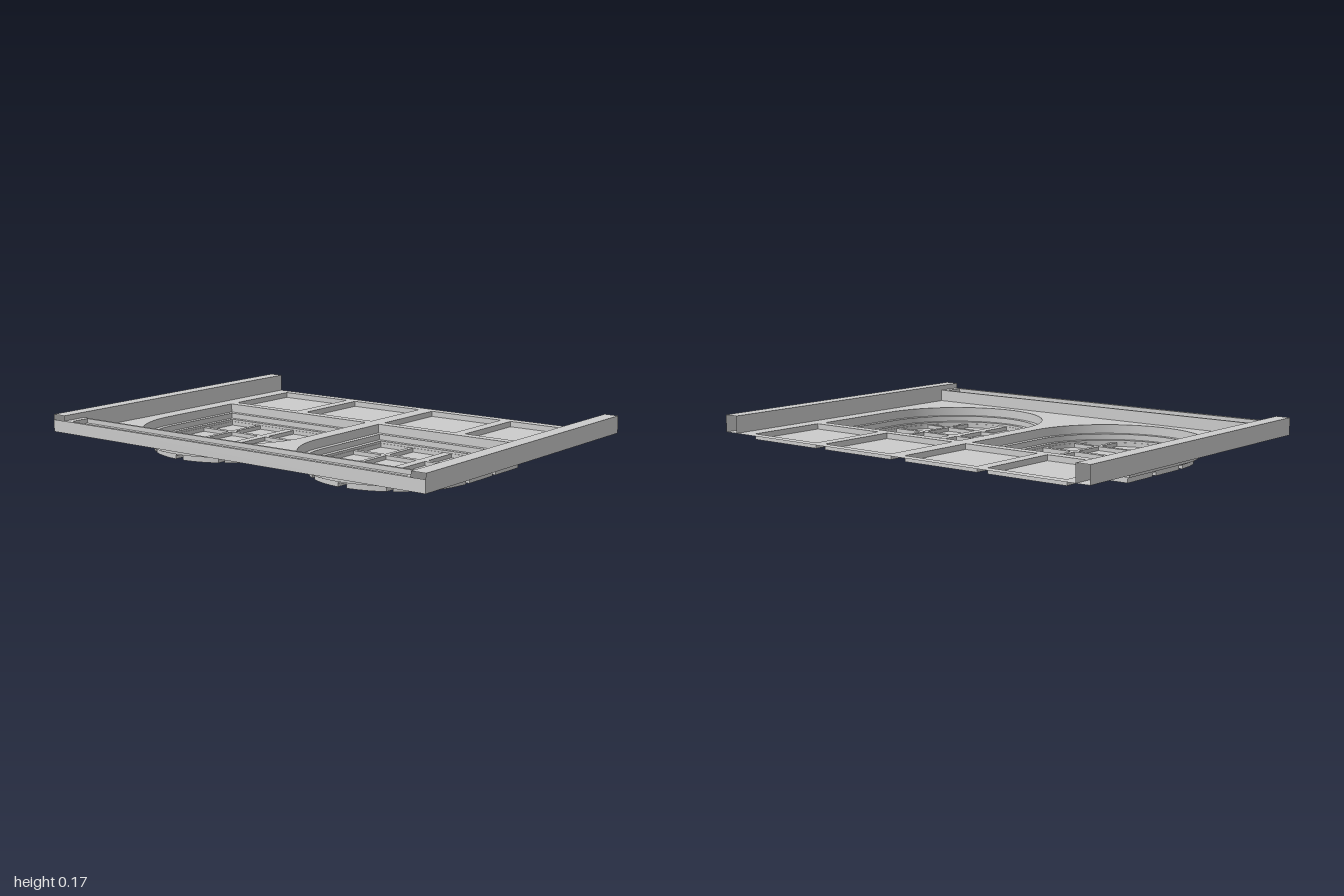
import * as THREE from 'three';
import { toCreasedNormals } from 'three/addons/utils/BufferGeometryUtils.js';

const material = new THREE.MeshStandardMaterial({ color: 0xcccccc, side: THREE.DoubleSide });

// Heights of the stepped surfaces
const PANEL = 0.093, RAIL = 0.171, LEDGE = 0.147, SQUARE = 0.068;
const STEP1 = 0.053, STEP2 = 0.028, BARS = 0.018, PANE = 0;

const rect = (x0, x1, z0, z1) => [[x0, z0], [x1, z0], [x1, z1], [x0, z1]];

// Outline with a straight back and a half-round front end
function arch(cx, radius, back) {
  const pts = [[cx - radius, back], [cx + radius, back]];
  for (let i = 0; i <= 40; i++) {
    const a = (i / 40) * Math.PI;
    pts.push([cx + radius * Math.cos(a), ARCH_Z + radius * Math.sin(a)]);
  }
  return pts;
}
const ARCH_Z = 0.17;

function add(group, name, geometry) {
  const mesh = new THREE.Mesh(geometry, material);
  mesh.name = name;
  group.add(mesh);
}

// Flat horizontal sheet at height y, with holes
function sheet(group, name, outline, y, holes = []) {
  const vectors = (pts) => pts.map(([x, z]) => new THREE.Vector2(x, -z));
  const shape = new THREE.Shape(vectors(outline));
  shape.holes = holes.map((h) => new THREE.Path(vectors(h)));
  add(group, name, new THREE.ShapeGeometry(shape).rotateX(-Math.PI / 2).translate(0, y, 0));
}

// Upright strip following an outline
function wall(group, name, pts, low, high, closed = true) {
  const positions = [], index = [];
  const path = closed ? [...pts, pts[0]] : pts;
  path.forEach(([x, z], i) => {
    positions.push(x, low, z, x, high, z);
    const a = i * 2;
    if (i < path.length - 1) index.push(a, a + 1, a + 2, a + 1, a + 3, a + 2);
  });
  const g = new THREE.BufferGeometry();
  g.setAttribute('position', new THREE.Float32BufferAttribute(positions, 3));
  g.setIndex(index);
  add(group, name, toCreasedNormals(g, 0.5));
}

// Window pane cell, clipped by the round end; null when nothing remains
function paneOutline(cx, radius, x0, x1, z0, z1) {
  const reach = z0 > ARCH_Z ? Math.sqrt(Math.max(0, radius ** 2 - (z0 - ARCH_Z) ** 2)) : radius;
  const a = Math.max(x0, -reach), b = Math.min(x1, reach);
  if (b - a < 0.01) return null;
  const pts = [];
  const n = 14;
  for (let i = 0; i <= n; i++) {
    const x = a + ((b - a) * i) / n;
    const edge = ARCH_Z + Math.sqrt(Math.max(0, radius ** 2 - x * x));
    const z = Math.min(z1, edge);
    if (z > z0 + 1e-4) pts.push([cx + x, z]);
  }
  return [[cx + b, z0], [cx + a, z0], ...pts];
}

function createWindow(cx) {
  const group = new THREE.Group();
  group.name = 'archedWindow';
  const outer = arch(cx, 0.41, -0.276);
  const middle = arch(cx, 0.386, -0.251);
  const inner = arch(cx, 0.364, -0.229);

  // Stepped frame
  wall(group, 'outerFrameWall', outer, STEP1, PANEL);
  sheet(group, 'outerFrameStep', outer, STEP1, [middle]);
  wall(group, 'middleFrameWall', middle, STEP2, STEP1);
  sheet(group, 'innerFrameStep', middle, STEP2, [inner]);
  wall(group, 'innerFrameWall', inner, BARS, STEP2);

  // Panes between the mullion and the thin bars
  const columns = [[-0.361, -0.205], [-0.183, -0.022], [0.022, 0.183], [0.205, 0.361]];
  const rows = [[-0.226, -0.045], [-0.02, 0.155], [0.18, 0.335], [0.358, 0.6]];
  const panes = [];
  for (const [x0, x1] of columns) {
    for (const [z0, z1] of rows) {
      const pane = paneOutline(cx, 0.361, x0, x1, z0, z1);
      if (pane) panes.push(pane);
    }
  }
  sheet(group, 'glazingBars', inner, BARS, panes);
  for (const pane of panes) {
    wall(group, 'paneEdge', pane, PANE, BARS);
    sheet(group, 'pane', pane, PANE);
  }
  return { group, outer };
}

export function createModel() {
  const model = new THREE.Group();
  model.name = 'windowPanel';

  // Two arched windows
  const windows = [-0.447, 0.447].map(createWindow);
  windows.forEach((w) => model.add(w.group));

  // Row of four square recesses along the back
  const squares = [-0.86, -0.422, 0.038, 0.476].map((x) => rect(x, x + 0.384, -0.705, -0.322));
  for (const s of squares) {
    wall(model, 'squareRecessWall', s, SQUARE, PANEL);
    sheet(model, 'squareRecessFloor', s, SQUARE);
  }

  // Main panel pierced by all the recesses
  sheet(model, 'panel', rect(-1, 1, -0.75, 0.75), PANEL, [...squares, ...windows.map((w) => w.outer)]);

  // Hollow side rails, open at the ends
  for (const s of [-1, 1]) {
    wall(model, 'railOuterWall', [[s, -0.75], [s, 0.75]], PANEL, RAIL, false);
    wall(model, 'railInnerWall', [[s * 0.933, -0.75], [s * 0.933, 0.75]], PANEL, RAIL, false);
    sheet(model, 'railTop', rect(Math.min(s, s * 0.933), Math.max(s, s * 0.933), -0.75, 0.75), RAIL);
  }

  // Front ledge with a long shallow groove
  const groove = rect(-0.9, 0.9, 0.643, 0.733);
  wall(model, 'ledgeFront', [[-1, 0.75], [1, 0.75]], PANEL, LEDGE, false);
  wall(model, 'ledgeBack', [[-0.933, 0.63], [0.933, 0.63]], PANEL, LEDGE, false);
  sheet(model, 'ledgeTop', rect(-0.933, 0.933, 0.63, 0.75), LEDGE, [groove]);
  wall(model, 'grooveWall', groove, LEDGE - 0.02, LEDGE);
  sheet(model, 'grooveFloor', groove, LEDGE - 0.02);

  return model;
}
